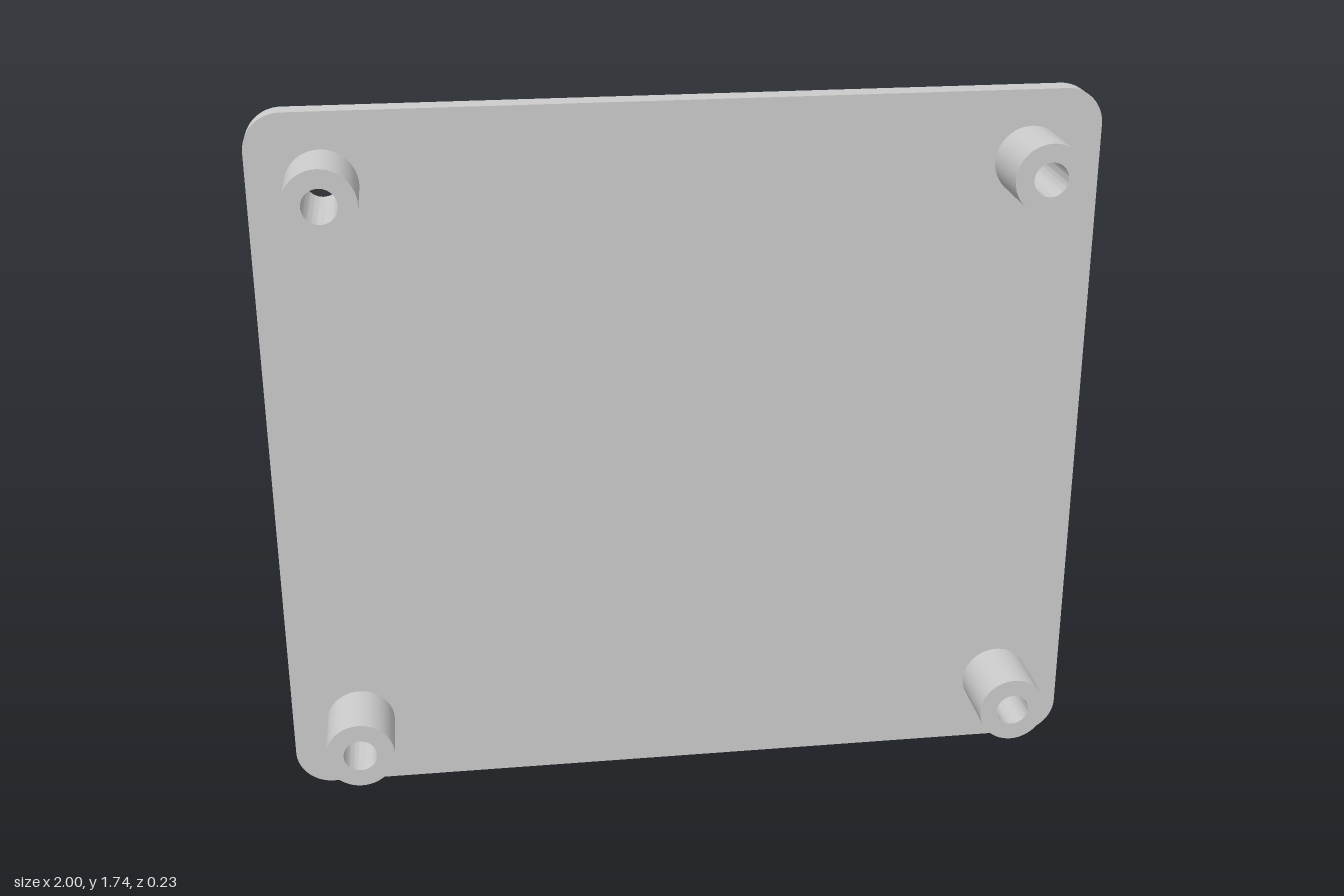
import * as THREE from 'three';
import { toCreasedNormals } from 'three/addons/utils/BufferGeometryUtils.js';

const HEIGHT = 1.744, CORNER = 0.09;
const BACK = -0.115, PLATE = 0.058, POST = 0.172;
const POST_R = 0.085, HOLE_R = 0.041;
const HOLE_X = 0.83, HOLE_Y = 0.7;

// Circular outline, usable as a hole or as a shape
function circle(PathType, x, y, r) {
  return new PathType().absarc(x, y, r, 0, Math.PI * 2, false);
}

// Straight extrusion with smooth curves and sharp edges
function extrude(shape, depth) {
  const geometry = new THREE.ExtrudeGeometry(shape, { depth, bevelEnabled: false, curveSegments: 24 });
  return toCreasedNormals(geometry, 0.6);
}

export function createModel() {
  const group = new THREE.Group();
  group.name = 'mountingPlate';
  const material = new THREE.MeshStandardMaterial({ color: 0xcccccc });

  // Rounded plate outline, centred
  const x = 1 - CORNER, y = HEIGHT / 2 - CORNER;
  const outline = new THREE.Shape();
  [[x, y], [-x, y], [-x, -y], [x, -y]].forEach(([cx, cy], i) => {
    outline.absarc(cx, cy, CORNER, i * Math.PI / 2, (i + 1) * Math.PI / 2, false);
  });
  outline.closePath();

  // Hollow standoff
  const ring = circle(THREE.Shape, 0, 0, POST_R);
  ring.holes.push(circle(THREE.Path, 0, 0, HOLE_R));
  const postGeometry = extrude(ring, POST);

  // One through hole and one standoff in each corner
  for (const sx of [-1, 1]) {
    for (const sy of [-1, 1]) {
      outline.holes.push(circle(THREE.Path, sx * HOLE_X, sy * HOLE_Y, HOLE_R));
      const post = new THREE.Mesh(postGeometry, material);
      post.name = (sy > 0 ? 'upper' : 'lower') + (sx > 0 ? 'Left' : 'Right') + 'Standoff';
      post.position.set(sx * HOLE_X, HEIGHT / 2 + sy * HOLE_Y, BACK + PLATE);
      group.add(post);
    }
  }

  const plate = new THREE.Mesh(extrude(outline, PLATE), material);
  plate.name = 'plate';
  plate.position.set(0, HEIGHT / 2, BACK);
  group.add(plate);
  return group;
}
